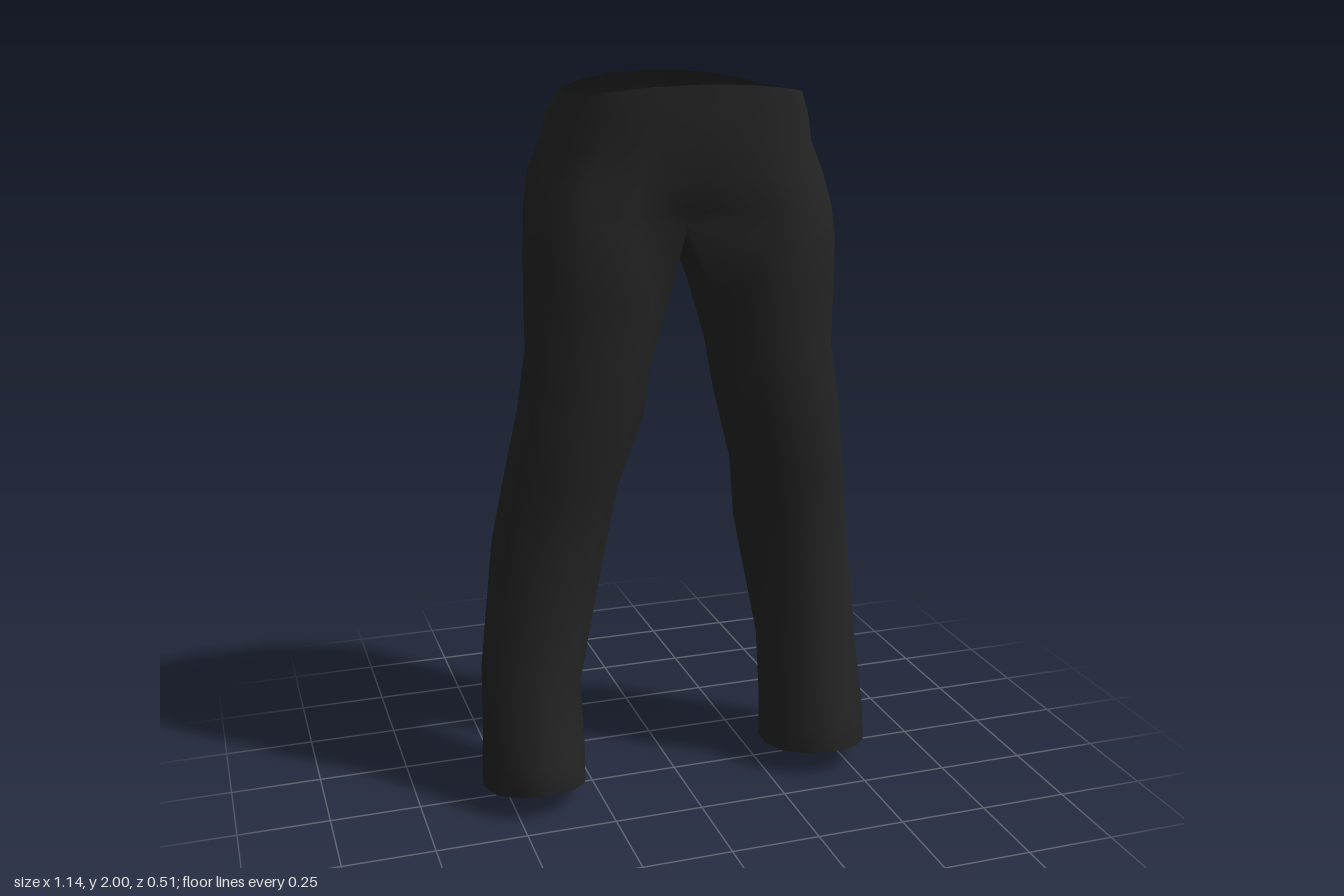
import * as THREE from 'three';
import { mergeVertices } from 'three/addons/utils/BufferGeometryUtils.js';

// Hip sections: y, half width, front z, back z, centre-seam front z, centre-seam back z
const HIPS = [
  [1.955, 0.31, 0.255, -0.17, 0.255, -0.17],
  [1.9, 0.335, 0.255, -0.235, 0.25, -0.215],
  [1.83, 0.35, 0.25, -0.255, 0.24, -0.23],
  [1.75, 0.387, 0.25, -0.262, 0.225, -0.23],
  [1.66, 0.41, 0.26, -0.215, 0.18, -0.16],
  [1.58, 0.42, 0.258, -0.185, 0.12, -0.10],
];
// Leg sections: y, inner x, outer x, front z, back z
const LEG = [
  [1.45, 0.035, 0.425, 0.242, -0.16],
  [1.28, 0.085, 0.425, 0.217, -0.135],
  [1.12, 0.112, 0.452, 0.217, -0.122],
  [0.92, 0.175, 0.485, 0.175, -0.16],
  [0.72, 0.205, 0.517, 0.142, -0.203],
  [0.35, 0.28, 0.558, 0.137, -0.188],
  [0.17, 0.284, 0.564, 0.2, -0.182],
  [0.04, 0.284, 0.571, 0.197, -0.177],
];
const OUTER = 9;  // points from front seam round the outside to the back seam
const RING = 12;  // points round a whole leg

const bend = (v, e) => Math.sign(v) * Math.abs(v) ** e;

function hipRing([y, w, zf, zb, seamF, seamB], row) {
  const ring = [];
  for (let j = 0; j < OUTER; j++) {
    const t = (j / (OUTER - 1)) * Math.PI;
    const c = Math.cos(t);
    const seam = j === 0 || j === OUTER - 1;
    const x = seam ? 0 : w * Math.sin(t) ** 0.9;
    let z = (zf + zb) / 2 + ((zf - zb) / 2) * bend(c, 0.5);
    if (seam) z = j === 0 ? seamF : seamB;
    // The waistband rises at front and back; the seam rises at the crotch
    let py = y;
    if (row === 0) py += (c > 0 ? 0.03 : 0.045) * c * c;
    if (row === HIPS.length - 1 && seam) py += 0.04;
    ring.push([x, py, z]);
  }
  return ring;
}

function legRing([y, xi, xo, zf, zb], row) {
  const ring = [];
  for (let j = 0; j < RING; j++) {
    const a = ((j - 1) / RING) * Math.PI * 2;
    const c = Math.cos(a);
    ring.push([
      (xi + xo) / 2 + ((xo - xi) / 2) * bend(Math.sin(a), 0.9),
      y + (row === LEG.length - 1 ? 0.04 * c : 0), // slanted hem
      (zf + zb) / 2 + ((zf - zb) / 2) * bend(c, 0.85),
    ]);
  }
  return ring;
}

function trousersGeometry() {
  const rings = HIPS.map(hipRing);
  // Crotch curve closes the last hip ring, from back seam to front seam
  rings[rings.length - 1].push([0, 1.585, -0.05], [0, 1.565, 0.01], [0, 1.585, 0.07]);
  rings.push(...LEG.map(legRing));

  const positions = [];
  const index = [];
  for (const side of [1, -1]) {
    const starts = rings.map((ring) => {
      const start = positions.length / 3;
      ring.forEach(([x, y, z]) => positions.push(x * side, y, z));
      return start;
    });
    const face = (a, b, c) => index.push(a, ...(side > 0 ? [b, c] : [c, b]));
    for (let i = 0; i + 1 < rings.length; i++) {
      const onLeg = i >= HIPS.length - 1;
      const count = onLeg ? RING : OUTER - 1;
      for (let j = 0; j < count; j++) {
        const k = onLeg ? (j + 1) % RING : j + 1;
        const [a, b] = [starts[i] + j, starts[i] + k];
        const [c, d] = [starts[i + 1] + j, starts[i + 1] + k];
        face(a, c, b);
        face(b, c, d);
      }
    }
  }
  const geometry = new THREE.BufferGeometry();
  geometry.setAttribute('position', new THREE.Float32BufferAttribute(positions, 3));
  geometry.setIndex(index);
  // Weld the halves along the centre seam for smooth shading
  const welded = mergeVertices(geometry, 1e-4);
  welded.computeVertexNormals();
  return welded;
}

export function createModel() {
  const group = new THREE.Group();
  group.name = 'trousers';
  const fabric = new THREE.MeshStandardMaterial({ color: 0x242424, side: THREE.DoubleSide });
  fabric.name = 'black fabric';
  const mesh = new THREE.Mesh(trousersGeometry(), fabric);
  mesh.name = 'trouserFabric';
  group.add(mesh);
  return group;
}
